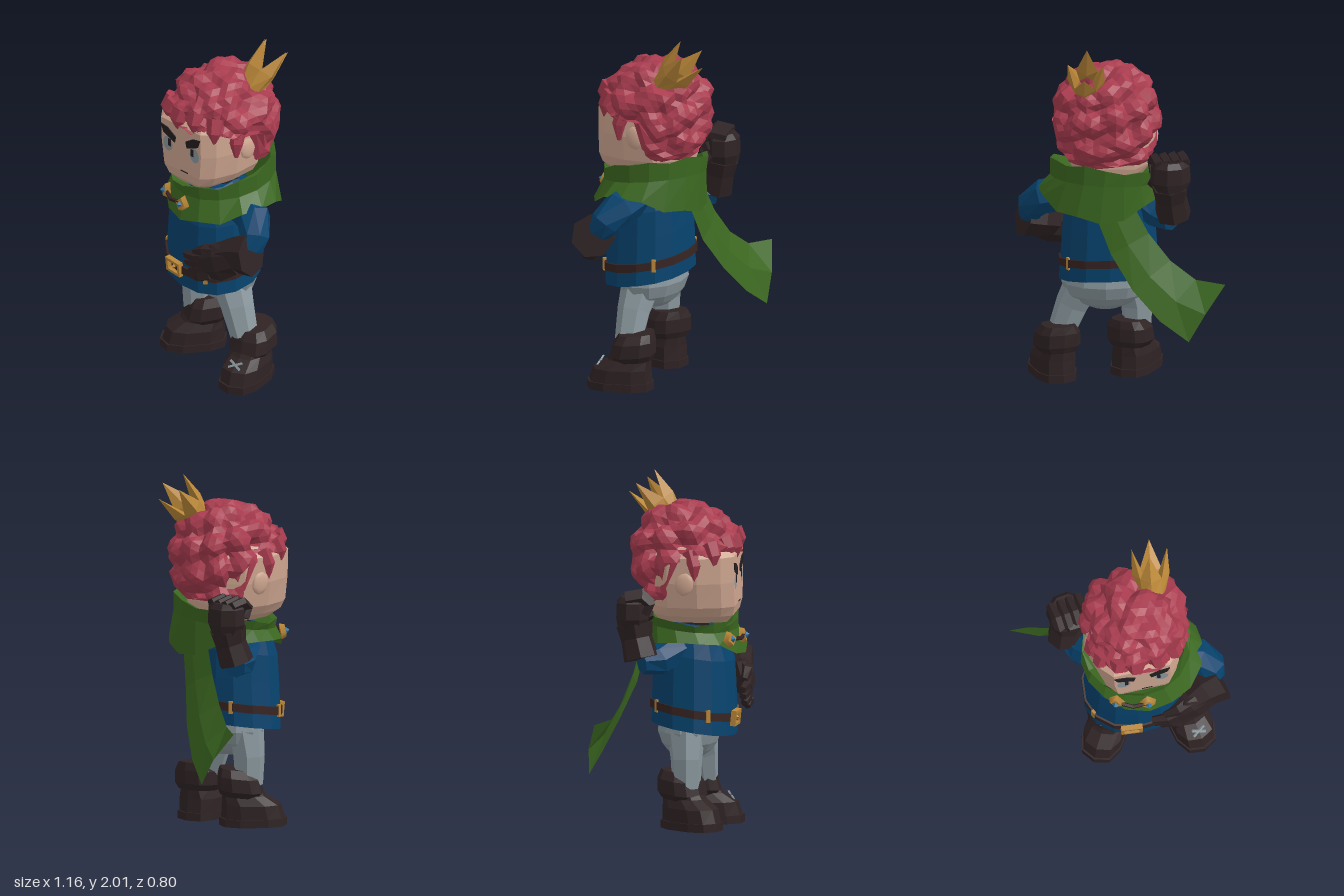
import * as THREE from 'three';

const V = (x, y, z) => new THREE.Vector3(x, y, z);
const mat = (name, color, extra = {}) => Object.assign(new THREE.MeshStandardMaterial({ color, ...extra }), { name });
const M = {
  hair: mat('hair red', 0xa93c4f), gold: mat('gold', 0xb98638), skin: mat('skin', 0xd0a791),
  ink: mat('ink', 0x241e20), green: mat('cloak green', 0x3b6720, { side: THREE.DoubleSide }),
  blue: mat('tunic blue', 0x07436e), leather: mat('dark leather', 0x2f2324), grey: mat('legging grey', 0x8b999f),
  belt: mat('belt brown', 0x372422), gem: mat('gem blue', 0x2b74a5),
};

// Flat-faced geometry from a list of corner points, three per face
function faces(pts) {
  const g = new THREE.BufferGeometry().setFromPoints(pts);
  g.computeVertexNormals();
  return g;
}

// Skin over a stack of closed rings, with end caps
function loft(rings, cap = true) {
  const out = [], n = rings[0].length;
  for (let i = 0; i < rings.length - 1; i++) for (let j = 0; j < n; j++) {
    const k = (j + 1) % n, [a, b, c, d] = [rings[i][j], rings[i][k], rings[i + 1][k], rings[i + 1][j]];
    out.push(a, b, c, a, c, d);
  }
  if (cap) [rings[0], rings.at(-1)].forEach((r, e) => {
    const m = r.reduce((s, p) => s.add(p), V(0, 0, 0)).divideScalar(n);
    for (let j = 0; j < n; j++) { const k = (j + 1) % n; out.push(m, r[e ? j : k], r[e ? k : j]); }
  });
  return faces(out);
}

// Signed power: below 1 it squares off a round outline
const pw = (v, p) => Math.sign(v) * Math.abs(v) ** p;

// Horizontal ring; lift adds height by position
function ring(cx, y, cz, rx, rz, { n = 12, p = 1, lift = () => 0 } = {}) {
  return Array.from({ length: n }, (_, i) => {
    const t = i / n * Math.PI * 2, s = Math.sin(t), c = Math.cos(t);
    const x = cx + rx * pw(s, p), z = cz + rz * pw(c, p);
    return V(x, y + lift(x, z, s, c), z);
  });
}

// Limb along stations [x, y, z, radius, flattening]
function limb(st, n = 7, ref = V(0, 0, 1)) {
  const P = st.map((s) => V(s[0], s[1], s[2]));
  return loft(st.map(([, , , r, flat = 1], i) => {
    const t = P[Math.min(i + 1, P.length - 1)].clone().sub(P[Math.max(i - 1, 0)]).normalize();
    const u = t.clone().cross(ref).normalize(), v = u.clone().cross(t);
    return Array.from({ length: n }, (_, j) => {
      const a = (j + 0.5) / n * Math.PI * 2;
      return P[i].clone().addScaledVector(u, Math.sin(a) * r).addScaledVector(v, Math.cos(a) * r * flat);
    });
  }));
}

function add(parent, name, geo, material, pos = [0, 0, 0], rot = [0, 0, 0]) {
  const m = new THREE.Mesh(geo, material);
  m.name = name;
  m.position.set(...pos);
  m.rotation.set(...rot);
  parent.add(m);
  return m;
}
const box = (x, y, z) => new THREE.BoxGeometry(x, y, z);
function group(parent, name, pos = [0, 0, 0], rot = [0, 0, 0]) {
  const g = new THREE.Group();
  g.name = name;
  g.position.set(...pos);
  g.rotation.set(...rot);
  parent.add(g);
  return g;
}

function buildTorso(root) {
  const lift = (x, z) => -0.16 * (z - 0.1) - 0.04 * (x - 0.05), o = { n: 14, lift, p: 0.9 };
  add(root, 'tunic', loft([[0.585, 0.285, 0.235], [0.7, 0.277, 0.235], [0.85, 0.267, 0.23], [1.0, 0.258, 0.222],
    [1.1, 0.235, 0.19], [1.17, 0.13, 0.12]].map(([y, rx, rz]) => ring(0.055, y, 0.1, rx, rz, o))), M.blue);
  add(root, 'belt', loft([0.667, 0.713].map((y) => ring(0.055, y, 0.1, 0.287, 0.246, o))), M.belt);
  for (const t of [-1, 0.67, 2.2, -2.3]) {
    const x = 0.055 + 0.28 * Math.sin(t), z = 0.1 + 0.245 * Math.cos(t);
    add(root, 'beltLoop', box(0.024, 0.07, 0.025), M.gold, [x, 0.69 + lift(x, z), z], [0, t, 0]);
  }
  // Buckle frame with a small stud
  const s = new THREE.Shape([[-0.06, -0.043], [0.06, -0.043], [0.06, 0.043], [-0.06, 0.043]].map((p) => new THREE.Vector2(...p)));
  s.holes.push(new THREE.Path([[-0.042, -0.026], [-0.042, 0.026], [0.042, 0.026], [0.042, -0.026]].map((p) => new THREE.Vector2(...p))));
  add(root, 'buckle', new THREE.ExtrudeGeometry(s, { depth: 0.03, bevelEnabled: false }), M.gold, [0.015, 0.652, 0.33], [0.1, 0, 0]);
  add(root, 'buckleStud', new THREE.OctahedronGeometry(0.015), M.gold, [0.015, 0.652, 0.35]);

  add(root, 'hips', loft([[0.42, 0.09, 0.08], [0.455, 0.17, 0.125], [0.5, 0.225, 0.155], [0.57, 0.25, 0.18], [0.66, 0.24, 0.17]]
    .map(([y, rx, rz]) => ring(0.075, y, 0.07, rx, rz))), M.grey);
  add(root, 'rightLeg', limb([[-0.1, 0.26, 0.09, 0.08], [-0.1, 0.42, 0.09, 0.09], [-0.07, 0.57, 0.08, 0.11]]), M.grey);
  add(root, 'leftLeg', limb([[0.32, 0.26, 0.09, 0.08], [0.26, 0.42, 0.09, 0.095], [0.19, 0.55, 0.08, 0.115]]), M.grey);
}

function buildBoot(root, name, pos, yaw) {
  const g = group(root, name, pos, [0, yaw, 0]);
  const stack = (rows, lift) => loft(rows.map(([y, z, rx, rz]) => ring(0, y, z, rx, rz, { n: 10, p: 0.75, lift })));
  add(g, 'sole', stack([[0, 0.08, 0.12, 0.19], [0.045, 0.08, 0.12, 0.19]]), M.leather);
  add(g, 'foot', stack([[0.04, 0.08, 0.113, 0.18], [0.12, 0.07, 0.113, 0.165], [0.17, 0.03, 0.095, 0.125], [0.25, 0, 0.088, 0.1]]), M.leather);
  add(g, 'cuff', stack([[0.165, 0, 0.1, 0.105], [0.2, 0.01, 0.127, 0.13], [0.275, 0, 0.122, 0.12], [0.32, -0.01, 0.09, 0.1]],
    (x, z) => -0.1 * z), M.leather);
  return g;
}

function buildCloak(root) {
  const n = 16;
  const rim = (x, z, s, c) => -0.06 * c + 0.04 * s + 0.012 * Math.sin(x * 40);
  const hem = (x, z, s, c) => -0.1 * c * c + 0.015 * Math.sin(x * 33);
  add(root, 'cowl', loft([
    ring(0.11, 1.11, 0.07, 0.345, 0.31, { n, lift: hem }),
    ring(0.09, 1.18, 0.05, 0.295, 0.285, { n, lift: (x, z, s, c) => -0.04 * c + 0.02 * s }),
    ring(0.08, 1.255, 0.05, 0.305, 0.29, { n, lift: rim }),
    ring(0.08, 1.245, 0.05, 0.275, 0.26, { n, lift: rim }),
    ring(0.07, 1.12, 0.06, 0.18, 0.16, { n }),
  ], false), M.green);
  // Blown tail: upper edge, lower edge
  const rows = [[-0.08, 1.08, -0.17, 0.14, 1.05, -0.19], [-0.16, 0.93, -0.19, 0.05, 0.82, -0.23], [-0.28, 0.78, -0.22, -0.07, 0.63, -0.3],
    [-0.42, 0.68, -0.26, -0.22, 0.47, -0.36], [-0.585, 0.67, -0.32, -0.38, 0.36, -0.4]].map((r) => {
    const a = V(...r.slice(0, 3)), b = V(...r.slice(3));
    return [a, a.clone().lerp(b, 0.5).add(V(0.01, 0, -0.02)), b];
  });
  const out = [];
  for (let i = 0; i < 4; i++) for (let j = 0; j < 2; j++) {
    const [a, b, c, d] = [rows[i][j], rows[i][j + 1], rows[i + 1][j + 1], rows[i + 1][j]];
    out.push(a, b, c, a, c, d);
  }
  add(root, 'cloakTail', faces(out), M.green);
  // Clasps joined by a cord
  for (const [x, z, yaw] of [[-0.07, 0.335, -0.45], [0.105, 0.365, 0.05]]) {
    const g = group(root, 'clasp', [x, 1.1, z], [-0.2, yaw, 0]);
    add(g, 'claspPlate', new THREE.CylinderGeometry(0.036, 0.048, 0.03, 4).toNonIndexed(), M.gold, [0, 0, 0], [Math.PI / 2, 0, 0]);
    add(g, 'claspGem', new THREE.OctahedronGeometry(0.02), M.gem, [0, 0, 0.018]);
  }
  add(root, 'claspCord', limb([[-0.07, 1.105, 0.34, 0.012], [0.02, 1.095, 0.375, 0.012], [0.1, 1.105, 0.37, 0.012]], 5), M.belt);
}

function buildArms(root) {
  const L = group(root, 'leftArm'), R = group(root, 'rightArm');
  add(L, 'sleeve', limb([[0.24, 1.08, 0.08, 0.1], [0.42, 1.05, 0.1, 0.1], [0.49, 0.98, 0.15, 0.085], [0.49, 0.92, 0.18, 0.07]]), M.blue);
  add(L, 'gloveCuff', limb([[0.53, 0.905, 0.205, 0.125], [0.44, 0.88, 0.235, 0.11], [0.36, 0.85, 0.28, 0.085]], 7), M.leather);
  add(L, 'palm', limb([[0.44, 0.86, 0.25, 0.095], [0.36, 0.82, 0.305, 0.115, 0.6], [0.27, 0.78, 0.335, 0.085, 0.5]], 8), M.leather);
  [[0.13, 0.785], [0.14, 0.745], [0.175, 0.705], [0.235, 0.68]].forEach(([x, y], i) =>
    add(L, 'finger', limb([[0.3 + i * 0.01, 0.825 - i * 0.03, 0.335, 0.034], [(x + 0.3) / 2, (y + 0.82 - i * 0.03) / 2, 0.36, 0.032], [x, y, 0.355, 0.022]], 5), M.leather));
  add(L, 'thumb', limb([[0.36, 0.88, 0.3, 0.045], [0.28, 0.87, 0.345, 0.035], [0.2, 0.83, 0.35, 0.02]], 5), M.leather);

  add(R, 'sleeve', limb([[-0.1, 1.06, 0.06, 0.1], [-0.22, 0.99, -0.04, 0.085], [-0.29, 0.98, -0.12, 0.06]]), M.blue);
  add(R, 'gloveCuff', limb([[-0.3, 1.01, -0.12, 0.1], [-0.285, 1.12, -0.15, 0.09], [-0.28, 1.2, -0.165, 0.105]]), M.leather);
  const fist = group(R, 'fist', [-0.28, 1.265, -0.165], [0, 0.25, 0]);
  add(fist, 'palm', limb([[0, -0.09, -0.01, 0.085], [0, -0.03, -0.01, 0.115, 0.85], [0, 0.06, -0.01, 0.11, 0.85], [0, 0.09, -0.01, 0.085, 0.8]], 8), M.leather);
  for (let i = 0; i < 4; i++) {
    const x = -0.078 + i * 0.052;
    add(fist, 'finger', limb([[x, 0.0, 0.06, 0.026], [x, 0.055, 0.085, 0.031], [x, 0.095, 0.04, 0.031], [x, 0.08, -0.05, 0.028]], 5, V(1, 0, 0)), M.leather);
  }
  add(fist, 'thumb', limb([[0.09, -0.06, 0.03, 0.035], [0.05, -0.02, 0.085, 0.03], [-0.03, 0.0, 0.09, 0.022]], 5), M.leather);
}

// One lumpy shell: rounded curls on top, cut high over the face and low at the nape
function hairShell() {
  const N = 75, seeds = Array.from({ length: N }, (_, i) => {
    const y = 1 - 2 * (i + 0.5) / N, r = Math.sqrt(1 - y * y), a = i * 2.39996 + 0.5 * Math.sin(i * 5.1);
    return V(r * Math.sin(a), y, r * Math.cos(a));
  });
  const g = new THREE.IcosahedronGeometry(1, 7), pos = g.attributes.position, n = V(0, 0, 0);
  for (let i = 0; i < pos.count; i++) {
    n.fromBufferAttribute(pos, i).normalize();
    const gap = Math.min(...seeds.map((s) => s.distanceTo(n)));
    const k = 1.1 - 2.6 * gap * gap + 0.025 * Math.sin(n.x * 31 + n.z * 17) * Math.sin(n.y * 27);
    const h = Math.hypot(n.x, n.z) + 1e-6, hx = n.x / h, hz = n.z / h;
    const reach = (n.y < 0 ? h ** 0.35 : h) * k;
    const low = (hz > 0.35 ? 1.575 : hz > -0.1 ? 1.545 : 1.31) + 0.015 * Math.sin(hx * 19);
    pos.setXYZ(i, 0.07 + pw(hx, 0.9) * 0.285 * reach, Math.max(low, 1.58 + n.y * (n.y < 0 ? 0.3 : 0.26 * k)),
      0.03 + pw(hz, 0.9) * (hz > 0 ? 0.308 : 0.275) * reach);
  }
  g.computeVertexNormals();
  return g;
}

function buildHead(root) {
  add(root, 'neck', new THREE.CylinderGeometry(0.12, 0.12, 0.2, 10).toNonIndexed(), M.ink, [0.06, 1.15, 0.06]);
  const head = group(root, 'head', [0.065, 1.19, 0.08], [0, 0.08, 0.04]);
  const half = [[0.16, 0.265], [0.22, 0.2], [0.262, 0.07], [0.25, -0.1], [0.14, -0.22]];
  const outline = [...half, ...half.map(([x, z]) => [-x, z]).reverse()];
  add(head, 'face', loft([[0, 0.5, 0.8], [0.045, 0.76, 0.95], [0.1, 0.9, 1], [0.24, 1, 1], [0.385, 1, 1], [0.44, 0.85, 0.8]]
    .map(([y, sx, sz]) => outline.map(([x, z]) => V(x * sx, y, z * sz)))), M.skin);
  for (const s of [-1, 1]) {
    const iris = add(head, 'iris', new THREE.CircleGeometry(0.04, 10), M.grey, [s * 0.108, 0.238, 0.267]);
    iris.scale.set(0.95, 1.15, 1);
    add(head, 'pupil', box(0.02, 0.045, 0.004), M.ink, [s * 0.092, 0.25, 0.268]);
    const b = new THREE.Shape([[0.05, -0.012], [0.14, 0.025], [0.16, 0.075], [0.1, 0.065], [0.04, 0.028]].map(([x, y]) => new THREE.Vector2(s * x, y)));
    add(head, 'eyebrow', new THREE.ExtrudeGeometry(b, { depth: 0.008, bevelEnabled: false }), M.ink, [0, 0.275, 0.262]);
    const ear = add(head, 'ear', new THREE.IcosahedronGeometry(0.06, 1), M.skin, [s * 0.257, 0.24, 0], [0.2, 0, 0]);
    ear.scale.set(0.3, 1.1, 0.9);
  }
  add(head, 'mouth', box(0.06, 0.006, 0.006), M.ink, [0.02, 0.105, 0.265]);

  const hair = group(root, 'hair');
  add(hair, 'hairShell', hairShell(), M.hair);
  // Locks: x, z, top, tip, width
  for (const [x, z, top, tip, w] of [[0.325, 0.15, 1.6, 1.42, 0.05], [-0.19, 0.16, 1.6, 1.44, 0.05], [-0.15, 0.26, 1.64, 1.51, 0.055],
    [-0.06, 0.32, 1.66, 1.56, 0.055], [0.04, 0.335, 1.66, 1.54, 0.06], [0.17, 0.325, 1.68, 1.57, 0.055], [0.27, 0.265, 1.66, 1.52, 0.055]])
    add(hair, 'lock', limb([[x, tip, z, 0.012], [x, (top + tip) / 2, z, w * 0.8], [x - (x - 0.07) * 0.1, top, z - 0.03, w]], 6), M.hair);
}

// Small tilted crown of four flared points
function buildCrown(root) {
  const g = group(root, 'crown', [0.185, 1.76, -0.085]);
  g.quaternion.setFromUnitVectors(V(0, 1, 0), V(0.03, 0.76, -0.65).normalize());
  for (let i = 0; i < 4; i++) {
    const at = (t, r, y) => V(Math.sin(t) * r, y, Math.cos(t) * r), a = i / 4 * Math.PI * 2 - 0.1, h = Math.PI / 4;
    const [bl, bm, br] = [at(a - h, 0.075, -0.04), at(a, 0.075, -0.04), at(a + h, 0.075, -0.04)];
    const [vl, vr, tip, mid, inn] = [at(a - h, 0.085, 0.075), at(a + h, 0.085, 0.075), at(a, 0.1, 0.238), at(a, 0.105, 0.075), at(a, 0.035, 0.06)];
    add(g, 'crownPoint', faces([bl, bm, mid, bl, mid, vl, bm, br, vr, bm, vr, mid, vl, mid, tip, mid, vr, tip,
      inn, vl, tip, vr, inn, tip, bl, vl, inn, br, inn, vr, bl, inn, bm, bm, inn, br]), M.gold);
  }
}

export function createModel() {
  const root = new THREE.Group();
  root.name = 'adventurer';
  buildTorso(root);
  buildBoot(root, 'rightBoot', [-0.06, 0.03, 0.05], -0.5);
  const leftBoot = buildBoot(root, 'leftBoot', [0.345, 0, 0.04], 0.33);
  for (const s of [-1, 1]) add(leftBoot, 'lace', box(0.085, 0.012, 0.01), M.grey, [0, 0.148, 0.195], [-0.6, 0, s * 0.5]);
  buildCloak(root);
  buildArms(root);
  buildHead(root);
  buildCrown(root);
  return root;
}
